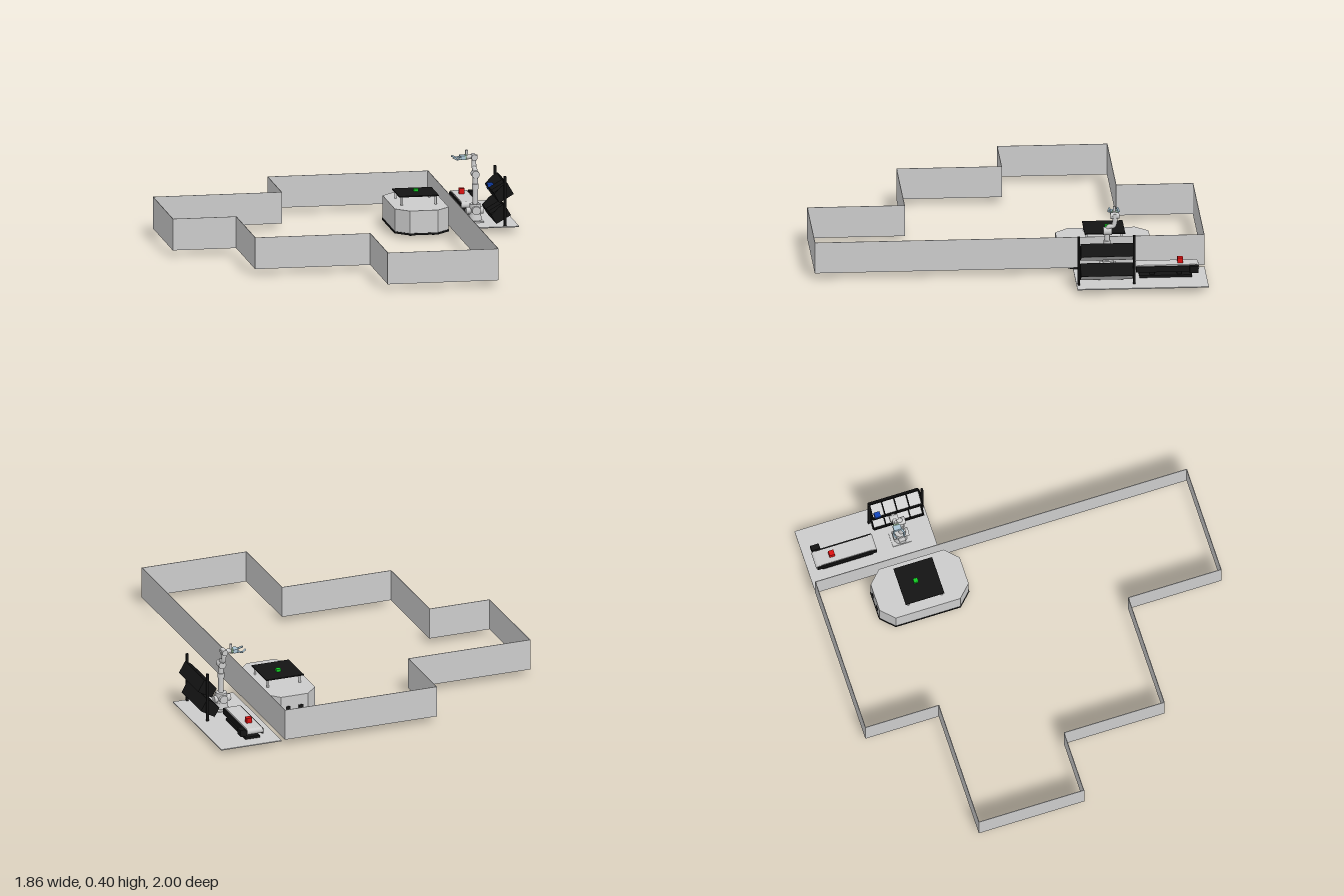
import * as THREE from 'three';

const mat = (color) => new THREE.MeshStandardMaterial({ color });
const GREY = mat(0xcccccc), BLACK = mat(0x141414), RED = mat(0xdd1111);
const GREEN = mat(0x11cc22), BLUE = mat(0x1144bb), PALE = mat(0xa9c4d4);

function add(parent, name, geometry, material = GREY) {
  const m = new THREE.Mesh(geometry, material);
  m.name = name;
  parent.add(m);
  return m;
}

// box given by its min and max corners
function box(parent, name, [x0, y0, z0], [x1, y1, z1], material) {
  const m = add(parent, name, new THREE.BoxGeometry(x1 - x0, y1 - y0, z1 - z0), material);
  m.position.set((x0 + x1) / 2, (y0 + y1) / 2, (z0 + z1) / 2);
  return m;
}

// cylinder between two points
function rod(parent, name, a, b, r, material, r2 = r) {
  const p = new THREE.Vector3(...a), q = new THREE.Vector3(...b);
  const m = add(parent, name, new THREE.CylinderGeometry(r2, r, p.distanceTo(q), 20), material);
  m.position.copy(p).lerp(q, 0.5);
  m.quaternion.setFromUnitVectors(new THREE.Vector3(0, 1, 0), q.sub(p).normalize());
  return m;
}

function group(parent, name) {
  const g = new THREE.Group();
  g.name = name;
  parent.add(g);
  return g;
}

// horizontal octagonal slab with chamfered corners
function octagon(parent, name, w, d, c, y0, y1, material) {
  const x = w / 2, z = d / 2;
  const pts = [[x, z - c], [x - c, z], [c - x, z], [-x, z - c], [-x, c - z], [c - x, -z], [x - c, -z], [x, c - z]];
  const shape = new THREE.Shape(pts.map(([a, b]) => new THREE.Vector2(a, b)));
  const g = new THREE.ExtrudeGeometry(shape, { depth: y1 - y0, bevelEnabled: false });
  const m = add(parent, name, g.rotateX(-Math.PI / 2), material);
  m.position.y = y0;
}

function arenaWalls(root) {
  const g = group(root, 'arenaWalls');
  const path = [[-0.26, -1], [0.575, -1], [0.575, 1], [0, 1], [0, 0.5], [-0.6, 0.5],
    [-0.6, -0.04], [-0.93, -0.04], [-0.93, -0.605], [-0.26, -0.605]];
  const t = 0.0015;
  path.forEach(([x, z], i) => {
    const [u, v] = path[(i + 1) % path.length];
    box(g, 'wall', [Math.min(x, u) - t, 0.03, Math.min(z, v) - t], [Math.max(x, u) + t, 0.195, Math.max(z, v) + t]);
  });
}

function mobileRobot(root) {
  const g = group(root, 'mobileRobot');
  g.position.set(0.417, 0, -0.49);
  octagon(g, 'chassis', 0.286, 0.486, 0.068, 0.018, 0.028, BLACK);
  octagon(g, 'body', 0.28, 0.48, 0.066, 0.028, 0.145, GREY);
  for (const s of [-1, 1]) {
    rod(g, 'wheel', [s * 0.092, 0.038, 0], [s * 0.128, 0.038, 0], 0.038, BLACK);
    for (const e of [-1, 1]) {
      rod(g, 'platePost', [s * 0.088, 0.145, e * 0.09], [s * 0.088, 0.19, e * 0.09], 0.006);
      add(g, 'caster', new THREE.SphereGeometry(0.012, 16, 10), BLACK).position.set(s * 0.06, 0.014, e * 0.18);
    }
    // ports on the rear face
    box(g, 'port', [s * 0.035 - 0.012, 0.07, -0.243], [s * 0.035 + 0.012, 0.09, -0.239], BLACK);
  }
  box(g, 'loadPlate', [-0.103, 0.188, -0.108], [0.103, 0.194, 0.1], BLACK);
  box(g, 'greenCube', [-0.008, 0.194, -0.032], [0.016, 0.208, -0.008], GREEN);
}

function conveyor(root) {
  const g = group(root, 'conveyor');
  box(g, 'foot', [0.685, 0.03, -0.925], [0.765, 0.042, -0.655], BLACK);
  for (const z of [-0.86, -0.72]) box(g, 'support', [0.70, 0.042, z - 0.012], [0.75, 0.068, z + 0.012], BLACK);
  box(g, 'belt', [0.685, 0.068, -0.945], [0.765, 0.098, -0.65]);
  for (const z of [-0.945, -0.65]) rod(g, 'roller', [0.683, 0.082, z], [0.767, 0.082, z], 0.0165);
  for (const x of [0.681, 0.771]) {
    box(g, 'sideRail', [x - 0.004, 0.062, -0.955], [x + 0.004, 0.092, -0.637], BLACK);
  }
  box(g, 'motor', [0.775, 0.062, -0.955], [0.803, 0.098, -0.91], BLACK);
  box(g, 'redCube', [0.711, 0.098, -0.88], [0.739, 0.125, -0.852], RED);
}

function rack(root) {
  const g = group(root, 'rack');
  for (const z of [-0.622, -0.337]) {
    box(g, 'post', [0.849, 0.027, z - 0.006], [0.861, 0.29, z + 0.006], BLACK);
  }
  // two tilted trays, open towards the arm
  for (const [x, y] of [[0.83, 0.152], [0.815, 0.042]]) {
    const tray = group(g, 'tray');
    tray.position.set(x, y, -0.48);
    tray.rotation.z = Math.PI / 6;
    box(tray, 'floor', [0, 0, -0.132], [0.08, 0.003, 0.132]);
    box(tray, 'lip', [-0.003, 0, -0.135], [0.001, 0.055, 0.135], BLACK);
    box(tray, 'back', [0.08, 0, -0.135], [0.084, 0.07, 0.135], BLACK);
    const side = new THREE.Shape([[0, 0], [0.082, 0], [0.082, 0.07], [0.05, 0.07], [0, 0.055]]
      .map(([a, b]) => new THREE.Vector2(a, b)));
    for (const z of [-0.135, 0.132]) {
      add(tray, 'end', new THREE.ExtrudeGeometry(side, { depth: 0.003, bevelEnabled: false }), BLACK).position.z = z;
    }
    for (const z of [-0.066, 0, 0.066]) box(tray, 'divider', [0, 0.003, z - 0.001], [0.08, 0.045, z + 0.001], BLACK);
  }
  box(g, 'blueCube', [0.808, 0.176, -0.602], [0.838, 0.204, -0.572], BLUE);
}

function arm(root) {
  const g = group(root, 'robotArm');
  box(g, 'basePlate', [0.69, 0.028, -0.545], [0.765, 0.036, -0.445]);
  rod(g, 'base', [0.728, 0.034, -0.495], [0.728, 0.065, -0.495], 0.036, GREY, 0.03);
  rod(g, 'shoulderTurret', [0.728, 0.06, -0.495], [0.728, 0.12, -0.495], 0.029);
  rod(g, 'shoulderJoint', [0.728, 0.09, -0.535], [0.728, 0.09, -0.452], 0.022);
  rod(g, 'shoulderCap', [0.68, 0.085, -0.495], [0.77, 0.085, -0.495], 0.018);
  rod(g, 'upperArm', [0.728, 0.11, -0.49], [0.728, 0.265, -0.49], 0.014);
  rod(g, 'armCollar', [0.728, 0.2, -0.49], [0.728, 0.225, -0.49], 0.018);
  rod(g, 'elbow', [0.728, 0.275, -0.47], [0.728, 0.275, -0.515], 0.02);
  // offset bend from the elbow up to the forearm
  const bend = new THREE.CatmullRomCurve3([[0.728, 0.28, -0.49], [0.728, 0.298, -0.5], [0.728, 0.303, -0.522],
    [0.728, 0.325, -0.53], [0.728, 0.355, -0.53]].map((p) => new THREE.Vector3(...p)));
  add(g, 'forearm', new THREE.TubeGeometry(bend, 24, 0.0125, 14));
  rod(g, 'wristJoint', [0.728, 0.357, -0.552], [0.728, 0.357, -0.508], 0.016);
  rod(g, 'wrist', [0.745, 0.358, -0.53], [0.69, 0.358, -0.53], 0.012);
  rod(g, 'wristFlange', [0.69, 0.345, -0.53], [0.69, 0.395, -0.53], 0.007);
  rod(g, 'flangeRing', [0.688, 0.358, -0.53], [0.682, 0.358, -0.53], 0.016, mat(0x9fcc9f));
  box(g, 'gripperBody', [0.655, 0.348, -0.55], [0.682, 0.368, -0.51], PALE);
  for (const s of [-1, 1]) {
    rod(g, 'fingerLink', [0.66, 0.356, -0.53 + s * 0.018], [0.638, 0.352, -0.53 + s * 0.028], 0.005, PALE);
    rod(g, 'fingerTip', [0.638, 0.352, -0.53 + s * 0.028], [0.616, 0.362, -0.53 + s * 0.02], 0.005, PALE);
  }
}

export function createModel() {
  const root = new THREE.Group();
  root.name = 'robotWorkcell';
  arenaWalls(root);
  mobileRobot(root);
  box(root, 'stationFloor', [0.595, 0.024, -1], [0.927, 0.029, -0.325]);
  conveyor(root);
  rack(root);
  arm(root);
  return root;
}
